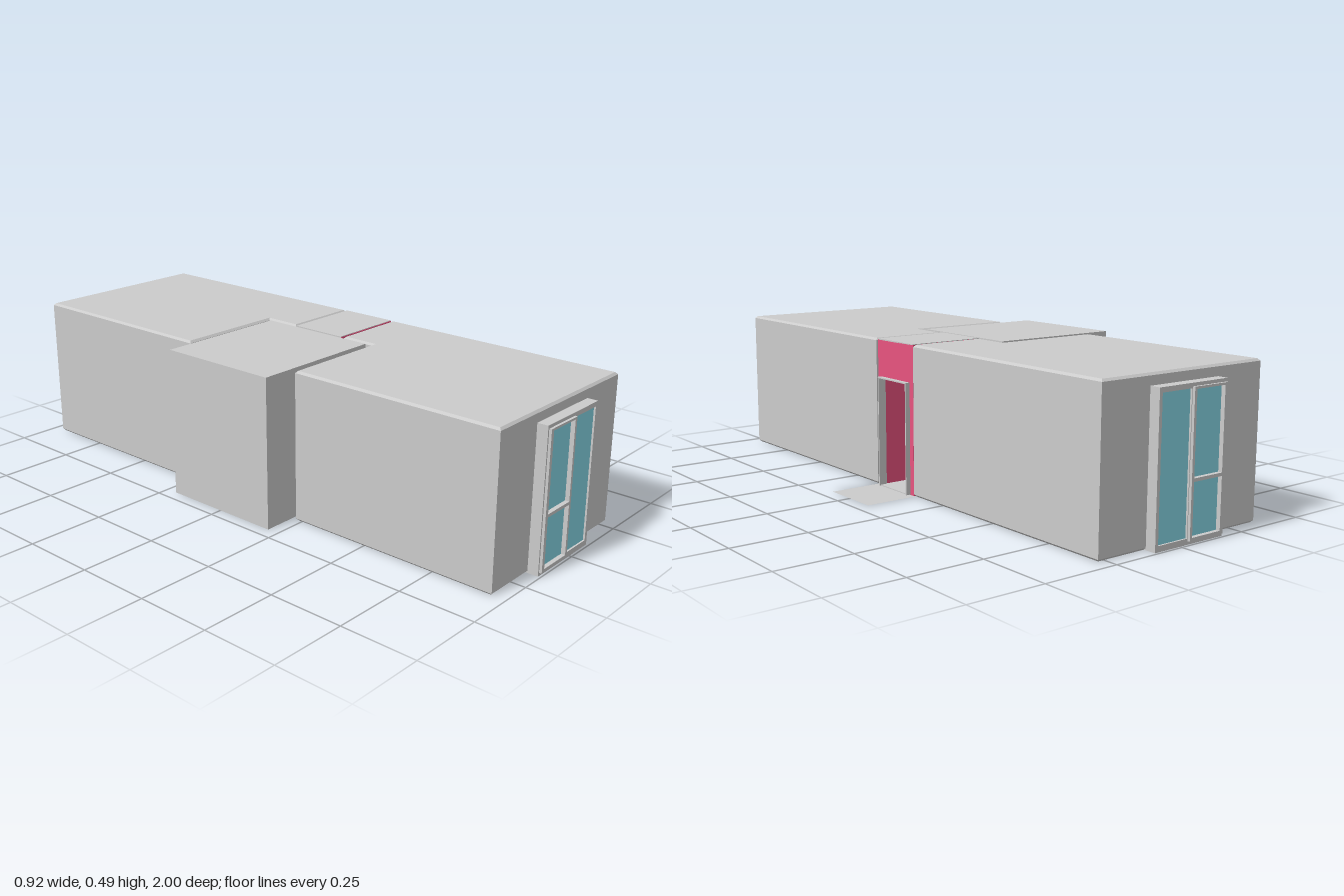
import * as THREE from 'three';

const grey = new THREE.MeshStandardMaterial({ color: 0xcccccc, flatShading: true });
const red = new THREE.MeshStandardMaterial({ color: 0xe8537f, flatShading: true });
const glass = new THREE.MeshStandardMaterial({ color: 0x88d9e8, flatShading: true });

function add(parent, name, geometry, material = grey) {
  const mesh = new THREE.Mesh(geometry, material);
  mesh.name = name;
  parent.add(mesh);
  return mesh;
}

// Box given by its limits
function block(x0, x1, y0, y1, z0, z1) {
  return new THREE.BoxGeometry(x1 - x0, y1 - y0, z1 - z0)
    .translate((x0 + x1) / 2, (y0 + y1) / 2, (z0 + z1) / 2);
}

const outline = (points) => new THREE.Shape(points.map(([x, y]) => new THREE.Vector2(x, y)));

// Room with a floor plan in x and z, and chamfered floor and roof edges
function room(plan, height, bevel) {
  return new THREE.ExtrudeGeometry(outline(plan.map(([x, z]) => [x, -z])), {
    depth: height - 2 * bevel, bevelEnabled: true, bevelSegments: 1,
    bevelSize: bevel, bevelThickness: bevel, bevelOffset: -bevel,
  }).rotateX(-Math.PI / 2).translate(0, bevel, 0);
}

// Doorway arch: a profile in z and y, extruded along x
function arch(outer, top, inner, opening, x0, x1) {
  const shape = outline([[-outer, 0], [-inner, 0], [-inner, opening], [inner, opening],
    [inner, 0], [outer, 0], [outer, top], [-outer, top]]);
  return new THREE.ExtrudeGeometry(shape, { depth: x1 - x0, bevelEnabled: false })
    .rotateY(Math.PI / 2).translate(x0, 0, 0);
}

// Glazed bay, with the divided leaf always on the -x side
function endWindow(side) {
  const bay = new THREE.Group();
  bay.name = side > 0 ? 'frontWindow' : 'backWindow';
  const span = (x0, x1) => (side > 0 ? [x0, x1] : [-x1, -x0]);
  const rect = (x0, x1, y0, y1) => {
    const [a, b] = span(x0, x1);
    return [[a, y0], [b, y0], [b, y1], [a, y1]];
  };
  const frame = (outer, holes, z0, z1) => {
    const shape = outline(rect(...outer));
    for (const hole of holes) shape.holes.push(new THREE.Path(outline(rect(...hole)).getPoints()));
    return new THREE.ExtrudeGeometry(shape, { depth: z1 - z0, bevelEnabled: false }).translate(0, 0, z0);
  };
  const upper = [-0.155, -0.04, 0.19, 0.44];
  const lower = [-0.155, -0.04, 0.02, 0.18];
  const fixed = [-0.028, 0.087, 0.018, 0.442];
  add(bay, 'windowCore', block(...span(-0.173, 0.098), 0, 0.457, 0.95, 0.978));
  add(bay, 'windowFrame', frame([-0.173, 0.098, 0, 0.457], [[-0.168, -0.03, 0.01, 0.447], fixed], 0.978, 0.992));
  add(bay, 'windowLeaf', frame([-0.167, -0.031, 0.01, 0.447], [upper, lower], 0.978, 1));
  for (const [x0, x1, y0, y1] of [upper, lower, fixed]) {
    add(bay, 'pane', block(...span(x0, x1), y0, y1, 0.976, 0.986), glass);
  }
  if (side < 0) bay.rotation.y = Math.PI;
  return bay;
}

export function createModel() {
  const model = new THREE.Group();
  model.name = 'modularBuilding';

  // Two mirrored L-shaped cabins and their end windows
  for (const s of [1, -1]) {
    const plan = [[-0.355, 0.23], [0.015, 0.23], [0.015, 0.105], [0.277, 0.105], [0.277, 0.957], [-0.355, 0.957]];
    add(model, s > 0 ? 'frontCabin' : 'backCabin', room(plan.map(([x, z]) => [x, z * s]), 0.492, 0.007));
    model.add(endWindow(s));
  }

  // Side room and the joint closing its gap to the cabins
  add(model, 'sideRoom', block(-0.46, 0, 0, 0.492, -0.21, 0.21));
  add(model, 'joint', block(0, 0.015, 0, 0.47, -0.23, 0.23));

  // Central corridor with a recessed doorway on the +x side
  add(model, 'corridor', block(0.01, 0.17, 0, 0.49, -0.1, 0.1), red);
  add(model, 'entrance', arch(0.1, 0.49, 0.08, 0.368, 0.17, 0.274), red);
  add(model, 'corridorRoof', block(0.01, 0.274, 0.488, 0.492, -0.098, 0.098));
  add(model, 'innerDoor', block(0.168, 0.175, 0.002, 0.368, -0.08, 0.08));
  add(model, 'doorFrame', arch(0.08, 0.368, 0.076, 0.364, 0.262, 0.29));
  add(model, 'entranceFloor', block(0.17, 0.285, 0, 0.004, -0.08, 0.08));

  // Thin entrance mat lying on the ground
  const mat = grey.clone();
  mat.side = THREE.DoubleSide;
  add(model, 'entranceMat', new THREE.PlaneGeometry(0.178, 0.212).rotateX(-Math.PI / 2).translate(0.366, 0.001, -0.003), mat);

  return model;
}
